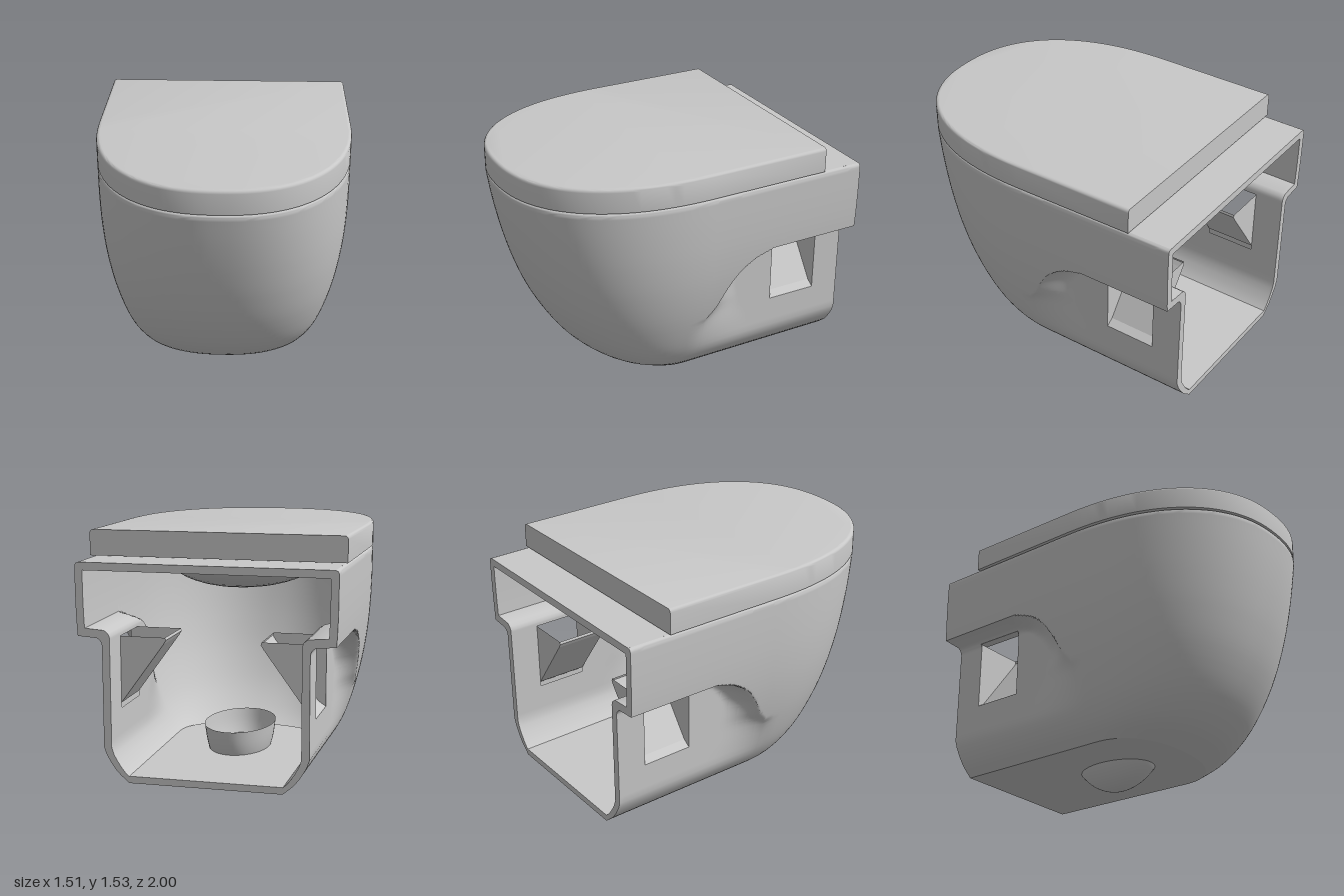
import * as THREE from 'three';
import { toCreasedNormals } from 'three/addons/utils/BufferGeometryUtils.js';

const N = 2.32;            // fullness of the rounded front
const WALL = 0.045;        // shell thickness
const TAPER = 0.015;       // narrowing of the straight sides towards the back
const WINDOW = { z0: -0.82, z1: -0.51, y0: 0.52, y1: 0.94 };
const RECESS_X = 0.59;     // half width of the recessed side walls

// Body profile: half width, height, front reach
const profile = new THREE.CatmullRomCurve3([
  [0.45, 0.13, 0.32], [0.527, 0.2, 0.475], [0.59, 0.3, 0.598], [0.634, 0.41, 0.69], [0.688, 0.6, 0.797],
  [0.725, 0.8, 0.874], [0.745, 1.0, 0.93], [0.752, 1.2, 0.972], [0.752, 1.38, 1.0],
].map(p => new THREE.Vector3(...p))).getPoints(200);

// Front edge of the side recess: height, z
const recessCurve = new THREE.CatmullRomCurve3([[0.1, 0.03], [0.5, 0.03], [0.63, -0.06], [0.75, -0.125],
  [0.84, -0.19], [0.91, -0.28], [0.945, -0.37], [0.97, -0.45]].map(p => new THREE.Vector3(0, ...p))).getPoints(120);

// Point of a sampled curve at height y
function sampleAt(points, y) {
  const i = Math.max(1, points.findIndex(p => p.y >= y - 1e-9));
  const a = points[i - 1], b = points[i];
  return a.clone().lerp(b, (y - a.y) / (b.y - a.y));
}
const { smoothstep, lerp, clamp } = THREE.MathUtils;

// 0 on the full body, 1 on the recessed wall, with a fillet under the ledge
function recess(y, z) {
  if (y > 0.958) return 0;
  const start = sampleAt(recessCurve, Math.max(y, 0.12)).z;
  const ramp = 0.15 + (1 - smoothstep(y, 0.35, 0.75)) * 0.3;
  const t = clamp((start - z) / ramp, 0, 1);
  const u = clamp((y - 0.91) / 0.05, 0, 1);
  const fillet = 0.33 * (1 - Math.sqrt(1 - u * u));
  return (1 - (1 - t) ** 2) * (1 - fillet);
}

// Columns run from the left back edge round the front to the right back edge
function makeColumns() {
  const half = [];
  for (let i = 0; i <= 6; i++) half.push({ z: -1 + 0.03 * i });
  for (let i = 1; i <= 10; i++) half.push({ z: WINDOW.z0 + 0.031 * i });
  for (let i = 1; i <= 60; i++) half.push({ z: WINDOW.z1 * (1 - i / 60) });
  for (let i = 1; i <= 32; i++) half.push({ a: (i / 32) * Math.PI / 2 });
  const cols = half.map(c => ({ ...c, side: 1 }));
  return cols.concat(half.slice(0, -1).reverse().map(c => ({ ...c, side: -1 })));
}
const columns = makeColumns();
const rows = [0.13, 0.145, 0.165, 0.19, 0.22, 0.25, 0.29, 0.33, 0.37, 0.41, 0.45, 0.485];
for (let i = 0; i <= 42; i++) rows.push(0.52 + 0.01 * i);
rows.push(0.949, 0.957, 0.965, 0.985, 1.002, 1.01, 1.06, 1.12, 1.18, 1.24, 1.3, 1.345, 1.36, 1.368, 1.375, 1.38);

function bodyPoint(y, col, inset) {
  const s = sampleAt(profile, y);
  const round = y > 1.36 ? 0.02 * (1 - Math.sqrt(Math.max(0, 1 - ((y - 1.36) / 0.02) ** 2))) : 0;
  const w = s.x - inset - round, f = s.z - inset - round;
  if (col.a !== undefined) {
    const c = Math.max(0, Math.cos(col.a)), d = Math.sin(col.a);
    return [col.side * w * c ** (2 / N), y, f * d ** (2 / N)];
  }
  const full = w * (1 + TAPER * col.z);
  const x = lerp(full, Math.min(full, RECESS_X - inset), recess(y - inset, col.z));
  return [col.side * x, y, col.z];
}

// Curved wall with the two side windows left open
function wallGeometry(inset, inward) {
  const pos = [], idx = [], n = columns.length, e = 1e-4;
  rows.forEach(y => columns.forEach(c => pos.push(...bodyPoint(y, c, inset))));
  const inWindow = (r, c) => {
    const p = columns[c].z, q = columns[c + 1].z;
    if (p === undefined || q === undefined) return false;
    return Math.min(p, q) > WINDOW.z0 - e && Math.max(p, q) < WINDOW.z1 + e &&
      rows[r] > WINDOW.y0 - e && rows[r + 1] < WINDOW.y1 + e;
  };
  for (let r = 0; r < rows.length - 1; r++) for (let c = 0; c < n - 1; c++) {
    if (inWindow(r, c)) continue;
    const a = r * n + c, b = a + 1, d = a + n, f = d + 1;
    if (inward) idx.push(a, b, d, b, f, d);
    else idx.push(a, d, b, b, d, f);
  }
  const g = new THREE.BufferGeometry();
  g.setAttribute('position', new THREE.Float32BufferAttribute(pos, 3));
  g.setIndex(idx);
  return toCreasedNormals(g, 0.8);
}

// Flat-shaded quads from corner points
function quads(list) {
  const pos = [];
  list.forEach(([a, b, c, d]) => pos.push(...a, ...b, ...c, ...a, ...c, ...d));
  const g = new THREE.BufferGeometry();
  g.setAttribute('position', new THREE.Float32BufferAttribute(pos, 3));
  g.computeVertexNormals();
  return g;
}

// Plan outline: straight back and sides, rounded front (shape y is -z)
function outline(w, front, back) {
  const wb = w * (1 + TAPER * back);
  const pts = [new THREE.Vector2(wb, -back), new THREE.Vector2(-wb, -back)];
  for (let i = 0; i <= 64; i++) {
    const t = Math.PI - (i / 64) * Math.PI, c = Math.cos(t), s = Math.max(0, Math.sin(t));
    pts.push(new THREE.Vector2(Math.sign(c) * w * Math.abs(c) ** (2 / N), -front * s ** (2 / N)));
  }
  return new THREE.Shape(pts);
}
function slab(shape, y, depth, bevel = 0) {
  const g = new THREE.ExtrudeGeometry(shape, {
    depth, bevelEnabled: bevel > 0, bevelSize: bevel, bevelThickness: bevel, bevelSegments: 4, curveSegments: 32,
  });
  return g.rotateX(-Math.PI / 2).translate(0, y, 0);
}

export function createModel() {
  const group = new THREE.Group();
  const ceramic = new THREE.MeshStandardMaterial({ color: 0xc8c8c8, side: THREE.DoubleSide });
  const add = (name, geometry, parent = group) => {
    const m = new THREE.Mesh(geometry, ceramic);
    m.name = name;
    parent.add(m);
  };

  // Hollow body
  add('outerWall', wallGeometry(0, false));
  add('innerWall', wallGeometry(WALL, true));

  // Back rim closing the shell thickness
  const rim = [];
  [columns[0], columns[columns.length - 1]].forEach(c => {
    for (let r = 0; r < rows.length - 1; r++) {
      const q = [bodyPoint(rows[r], c, 0), bodyPoint(rows[r], c, WALL),
        bodyPoint(rows[r + 1], c, WALL), bodyPoint(rows[r + 1], c, 0)];
      rim.push(c.side > 0 ? q : q.reverse());
    }
  });
  add('backRim', quads(rim));

  // Top deck and floor with the outlet hole
  add('deck', slab(outline(0.7321, 0.9801, -1), 1.335, 0.045));
  const floor = outline(0.45, 0.32, -1);
  floor.holes.push(new THREE.Path().absellipse(0, 0.185, 0.168, 0.25, 0, Math.PI * 2, true));
  add('floor', slab(floor, 0.13, 0.04));

  // Outlet cup bulging through the floor
  const cup = new THREE.SplineCurve([[0.001, 0.0], [0.08, 0.012], [0.17, 0.055], [0.25, 0.13],
    [0.29, 0.22], [0.31, 0.32]].map(p => new THREE.Vector2(...p)));
  add('outletCup', new THREE.LatheGeometry(cup.getPoints(20), 48).scale(0.68, 1, 1).translate(0, 0, -0.185));

  // Shallow swelling below the deck
  const swell = new THREE.SphereGeometry(1, 40, 12, 0, Math.PI * 2, Math.PI / 2, Math.PI / 2);
  add('deckUnderside', swell.scale(0.48, 0.2, 0.65).translate(0, 1.34, 0));

  // Wedge-shaped mounting pockets behind the side windows
  for (const side of [1, -1]) {
    const pocket = new THREE.Group();
    pocket.name = side > 0 ? 'leftPocket' : 'rightPocket';
    const { z0, z1, y0, y1 } = WINDOW;
    const path = [[RECESS_X, y0], [RECESS_X - WALL, y0 + 0.03], [0.29, 0.9], [0.275, 0.925], [0.28, y1]];
    const at = ([x, y], z) => [side * x, y, z];
    const faces = [];
    for (let i = 0; i < path.length - 1; i++) {
      const q = [at(path[i], z0), at(path[i + 1], z0), at(path[i + 1], z1), at(path[i], z1)];
      faces.push(side > 0 ? q : q.reverse());
    }
    // Cheeks at both ends, fanned from the upper wall corner
    const top = [RECESS_X, y1];
    for (const z of [z0, z1]) for (const i of [0, 2]) {
      const q = [at(path[i], z), at(path[i + 1], z), at(path[i + 2], z), at(top, z)];
      faces.push((z === z0) === (side > 0) ? q.reverse() : q);
    }
    add('pocketWalls', quads(faces), pocket);
    const lintel = new THREE.BoxGeometry(WALL + 0.01, 0.012, z1 - z0);
    add('windowLintel', lintel.translate(side * (RECESS_X - WALL / 2 + 0.005), y1 + 0.006, (z0 + z1) / 2), pocket);
    group.add(pocket);
  }

  // Lid: rounded upper edge, flat underside and square back
  const base = 1.386;
  const lid = slab(outline(0.733, 0.978, -0.725), base, 0.126, 0.02);
  const p = lid.attributes.position;
  for (let i = 0; i < p.count; i++) {
    if (p.getZ(i) < -0.6) p.setZ(i, -0.745);
    p.setY(i, Math.max(base, p.getY(i)));
    if (p.getY(i) > 1.5) p.setY(i, p.getY(i) - p.getZ(i) * 0.004);
  }
  add('lid', toCreasedNormals(lid, 0.6));

  return group;
}
